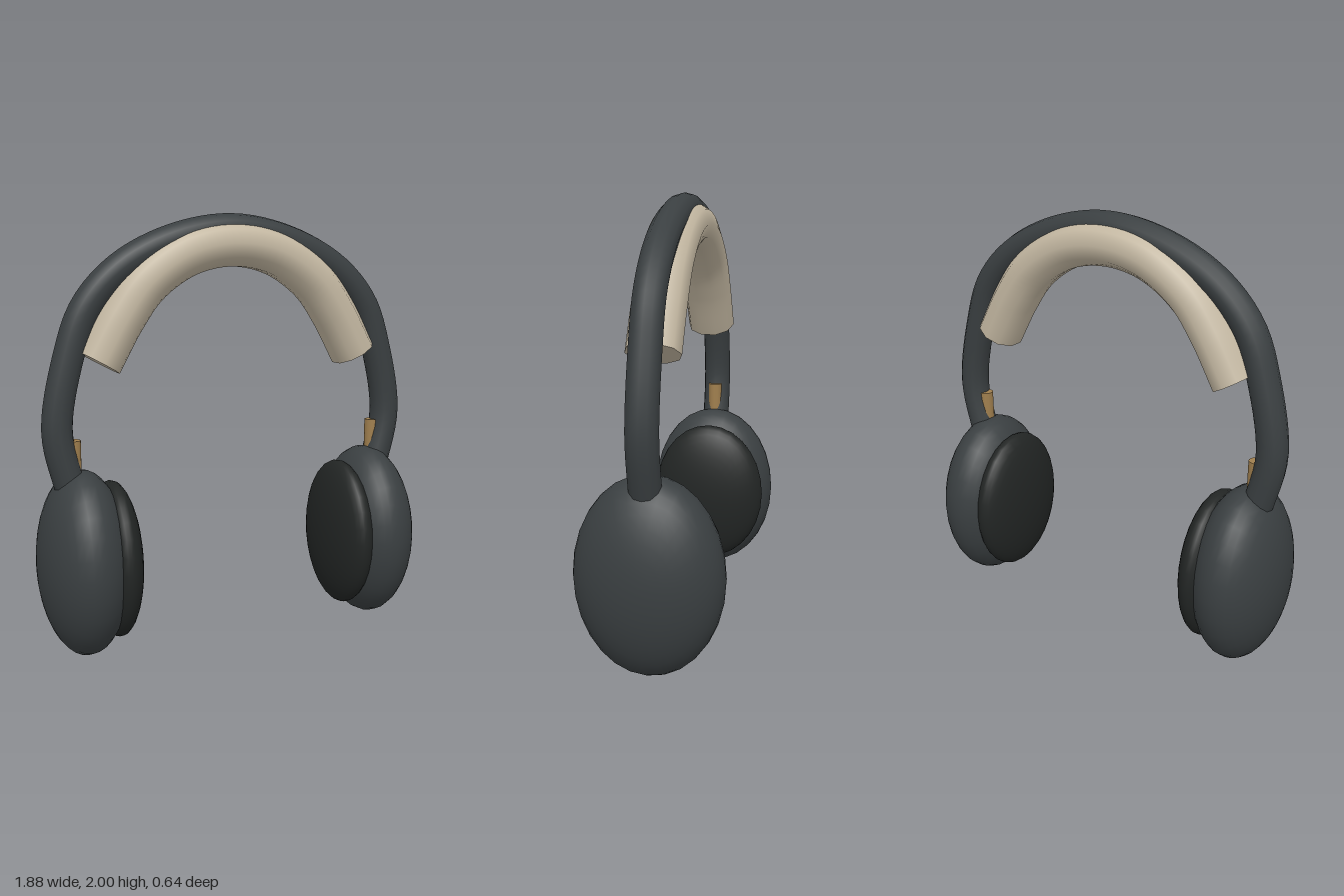
import * as THREE from 'three';

const mat = (color) => new THREE.MeshStandardMaterial({ color });
const shell = mat(0x3a3f41);
const cushionMat = mat(0x222524);
const padMat = mat(0xc4b8a2);
const brass = mat(0xa07f4e);

function part(name, geometry, material, parent) {
  const mesh = new THREE.Mesh(geometry, material);
  mesh.name = name;
  parent.add(mesh);
  return mesh;
}

// Smooth symmetric arch from points on the +x half, listed from the end up to the crown
function arch(half) {
  const left = half.map(([x, y]) => new THREE.Vector3(x, y, 0));
  const right = half.slice(0, -1).reverse().map(([x, y]) => new THREE.Vector3(-x, y, 0));
  return new THREE.CatmullRomCurve3([...left, ...right]);
}

// Ellipsoid with its pole along x
function ellipsoid(rx, ry, rz) {
  return new THREE.SphereGeometry(1, 28, 20).rotateZ(-Math.PI / 2).scale(rx, ry, rz);
}

export function createModel() {
  const model = new THREE.Group();
  model.name = 'headphones';

  // Outer headband, its ends buried in the ear cups
  const band = arch([[0.745, 0.68], [0.795, 0.83], [0.836, 1.05], [0.775, 1.375],
    [0.695, 1.585], [0.535, 1.755], [0.285, 1.88], [0, 1.93]]);
  part('headband', new THREE.TubeGeometry(band, 72, 0.07, 12), shell, model);

  // Cushioned pad under the crown, wider in z, with flat closed ends
  const pad = new THREE.Group();
  pad.name = 'headbandPad';
  model.add(pad);
  const padCurve = arch([[0.645, 1.343], [0.53, 1.545], [0.415, 1.695], [0.22, 1.822], [0, 1.863]]);
  const r = 0.108, widen = 0.12 / r;
  part('padTube', new THREE.TubeGeometry(padCurve, 48, r, 10).scale(1, 1, widen), padMat, pad);
  for (const t of [0, 1]) {
    const p = padCurve.getPointAt(t);
    const out = padCurve.getTangentAt(t).multiplyScalar(t ? 1 : -1);
    const cap = new THREE.CircleGeometry(r, 10).rotateY(Math.PI / 2).scale(1, 1, widen)
      .rotateZ(Math.atan2(out.y, out.x)).translate(p.x, p.y, p.z);
    part('padEnd', cap, padMat, pad);
  }

  // Ear cups, cushions and sliders on both sides
  for (const s of [1, -1]) {
    const ear = new THREE.Group();
    ear.name = s > 0 ? 'leftEar' : 'rightEar';
    model.add(ear);
    part('earCup', ellipsoid(0.205, 0.43, 0.322), shell, ear).position.set(s * 0.735, 0.435, 0);
    part('earCushion', ellipsoid(0.108, 0.365, 0.29), cushionMat, ear).position.set(s * 0.588, 0.435, 0);
    part('slider', new THREE.CylinderGeometry(0.035, 0.035, 0.25, 12), brass, ear)
      .position.set(s * 0.766, 0.875, 0);
  }
  return model;
}
